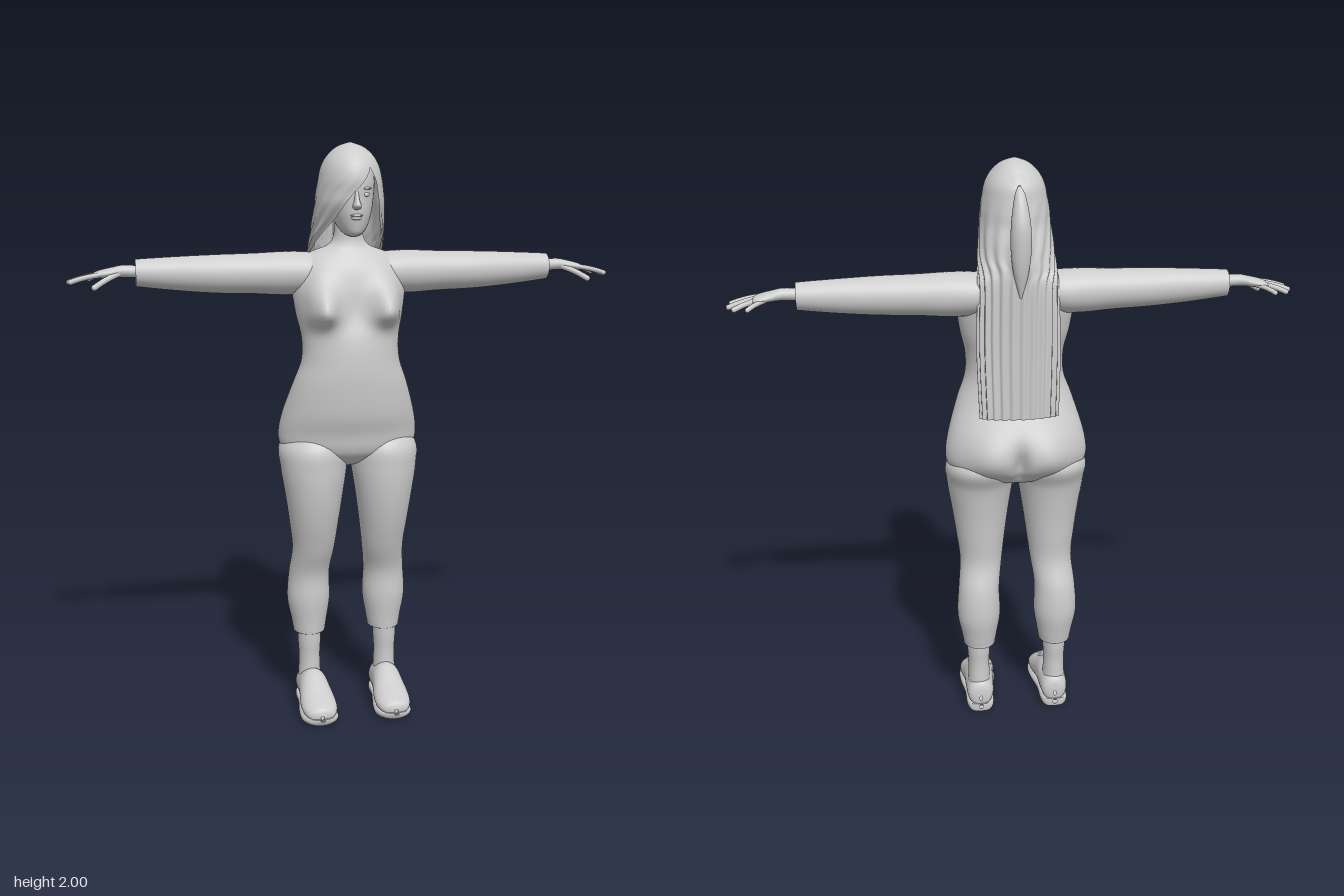
import * as THREE from 'three';

const clay = new THREE.MeshStandardMaterial({ color: 0xcccccc, side: THREE.DoubleSide });
clay.name = 'light grey';

// Catmull-Rom blend of the number rows at t (measured in rows)
function rowAt(rows, t) {
  const i = Math.min(Math.floor(t), rows.length - 2), f = t - i;
  const get = k => rows[Math.max(0, Math.min(rows.length - 1, k))];
  const [a, b, c, d] = [get(i - 1), get(i), get(i + 1), get(i + 2)];
  return b.map((v, k) => v + 0.5 * f * (c[k] - a[k] + f * (2 * a[k] - 5 * v + 4 * c[k] - d[k]
    + f * (3 * (v - c[k]) + d[k] - a[k]))));
}

// Smooth surface through rows; point(row, u) gives [x, y, z] for u in 0..1
function surface(name, rows, point, closed = true, nu = 40, steps = 6) {
  const nv = (rows.length - 1) * steps, cols = closed ? nu : nu + 1, pos = [], idx = [];
  for (let j = 0; j <= nv; j++) {
    const row = rowAt(rows, j / steps);
    for (let i = 0; i < cols; i++) pos.push(...point(row, i / nu));
  }
  const a = new THREE.Vector3(), b = new THREE.Vector3(), c = new THREE.Vector3();
  let volume = 0;
  const tri = (...t) => {
    idx.push(...t);
    [a, b, c].forEach((v, k) => v.fromArray(pos, t[k] * 3));
    volume += a.dot(b.cross(c));
  };
  for (let j = 0; j < nv; j++) for (let i = 0; i < nu; i++) {
    const k = (i + 1) % cols, p = j * cols, q = p + cols;
    tri(p + i, p + k, q + i);
    tri(p + k, q + k, q + i);
  }
  if (volume < 0) idx.reverse(); // keep faces pointing outward
  const geo = new THREE.BufferGeometry();
  geo.setAttribute('position', new THREE.Float32BufferAttribute(pos, 3));
  geo.setIndex(idx);
  geo.computeVertexNormals();
  return named(name, geo);
}

function named(name, geo) {
  const mesh = new THREE.Mesh(geo, clay);
  mesh.name = name;
  return mesh;
}

// Elliptical loft; rows are [axis position, centre, radius, centre, radius]
function loft(name, axis, rows, side = 1, shape = p => p, nu = 40) {
  return surface(name, rows, ([t, c1, r1, c2, r2], u) => {
    const p = c1 + r1 * Math.cos(u * 2 * Math.PI), q = c2 + r2 * Math.sin(u * 2 * Math.PI);
    const [x, y, z] = shape(axis === 'y' ? [p, t, q] : axis === 'x' ? [t, p, q] : [p, q, t]);
    return [side * x, y, z];
  }, true, nu);
}

function ball(name, x, y, z, rx, ry, rz) {
  const m = named(name, new THREE.SphereGeometry(1, 20, 14));
  m.position.set(x, y, z);
  m.scale.set(rx, ry, rz);
  return m;
}

// Bent digit made from a rounded tube
function digit(name, side, from, to, r) {
  const a = new THREE.Vector3(...from), b = new THREE.Vector3(...to);
  const mid = a.clone().lerp(b, 0.5);
  mid.y += 0.007;
  [a, mid, b].forEach(v => { v.x *= side; });
  const g = new THREE.Group();
  g.name = name;
  g.add(named('fingerBone', new THREE.TubeGeometry(new THREE.QuadraticBezierCurve3(a, mid, b), 8, r, 10)));
  g.add(ball('fingertip', b.x, b.y, b.z, r, r, r));
  return g;
}

const bell = (v, c, w) => Math.exp(-(((v - c) / w) ** 2));

// Chest, hip and seat volumes added to the plain torso loft
function torsoShape([x, y, z]) {
  const ax = Math.abs(x);
  if (z > 0.02) z += 0.085 * bell(ax, 0.11, 0.052) * bell(y, 1.45, y > 1.45 ? 0.085 : 0.048)
    * Math.min(1, (z - 0.02) / 0.04);
  if (z < -0.05) {
    const f = Math.min(1, (-0.05 - z) / 0.05);
    z += f * (0.035 * bell(x, 0, 0.02) * bell(y, 1.0, 0.06) - 0.025 * bell(ax, 0.1, 0.07) * bell(y, 1.03, 0.07));
  }
  return [x, y, z];
}

export function createModel() {
  const model = new THREE.Group();
  model.name = 'figure';

  // Torso and neck
  model.add(loft('torso', 'y', [
    [0.90, 0, 0.02, -0.02, 0.02], [0.92, 0, 0.10, -0.03, 0.08], [0.95, 0, 0.20, -0.03, 0.115],
    [0.98, 0, 0.238, -0.035, 0.135], [1.03, 0, 0.244, -0.035, 0.145], [1.10, 0, 0.230, -0.02, 0.15],
    [1.20, 0, 0.198, 0.01, 0.13], [1.28, 0, 0.170, 0.02, 0.12], [1.36, 0, 0.168, 0.015, 0.115],
    [1.44, 0, 0.185, 0, 0.105], [1.52, 0, 0.195, -0.01, 0.105], [1.58, 0, 0.19, -0.02, 0.10],
    [1.62, 0, 0.165, -0.025, 0.085], [1.645, 0, 0.12, -0.025, 0.07], [1.665, 0, 0.07, -0.02, 0.055],
    [1.70, 0, 0.05, -0.015, 0.045], [1.78, 0, 0.045, -0.01, 0.045],
  ], 1, torsoShape, 96));

  // Head and face
  const head = new THREE.Group();
  head.name = 'head';
  head.add(loft('face', 'y', [
    [1.695, 0, 0.01, 0.06, 0.02], [1.705, 0, 0.03, 0.06, 0.045], [1.73, 0, 0.05, 0.045, 0.07],
    [1.77, 0, 0.066, 0.025, 0.098], [1.82, 0, 0.076, 0.012, 0.112], [1.88, 0, 0.08, 0.008, 0.115],
    [1.93, 0, 0.075, 0, 0.10], [1.97, 0, 0.04, 0, 0.06], [1.985, 0, 0.005, 0, 0.005],
  ]));
  head.add(loft('nose', 'y', [
    [1.85, 0, 0.005, 0.116, 0.007], [1.815, 0, 0.009, 0.123, 0.017], [1.797, 0, 0.014, 0.126, 0.023],
    [1.787, 0, 0.011, 0.12, 0.014], [1.783, 0, 0.002, 0.115, 0.002],
  ], 1, p => p, 20));
  head.add(ball('upperLip', 0, 1.766, 0.121, 0.021, 0.005, 0.009));
  head.add(ball('lowerLip', 0, 1.757, 0.118, 0.018, 0.006, 0.009));
  for (const s of [1, -1]) {
    head.add(ball('eye', s * 0.032, 1.832, 0.112, 0.013, 0.007, 0.006));
    head.add(ball('brow', s * 0.034, 1.852, 0.114, 0.019, 0.004, 0.006));
  }
  model.add(head);

  // Hair sheet: rows are [y, radius x, centre z, radius z, left edge angle, right edge angle]
  model.add(surface('longHair', [
    [2.0, 0.004, 0.01, 0.004, 28, -28], [1.985, 0.045, 0.01, 0.055, 28, -28],
    [1.955, 0.078, 0.012, 0.09, 28, -28], [1.92, 0.097, 0.01, 0.115, 28, -28],
    [1.88, 0.106, 0.01, 0.125, 38, -15], [1.84, 0.112, 0.005, 0.128, 42, 5],
    [1.80, 0.116, 0, 0.128, 45, 20], [1.75, 0.12, -0.02, 0.122, 49, 35],
    [1.70, 0.124, -0.04, 0.11, 62, 55], [1.66, 0.127, -0.06, 0.095, 80, 70],
    [1.60, 0.13, -0.09, 0.068, 90, 88], [1.40, 0.138, -0.105, 0.052, 95, 95],
    [1.17, 0.132, -0.125, 0.037, 95, 95],
  ], ([y, rx, cz, rz, left, right], u) => {
    const a = THREE.MathUtils.degToRad(left + u * (360 - right - left));
    const wave = 0.004 * Math.sin(u * 75) * THREE.MathUtils.clamp((1.9 - y) * 4, 0, 1);
    return [(rx + wave) * Math.sin(a), y, cz + (rz + wave) * Math.cos(a)];
  }, false, 120));

  // Gathered tail at the back of the head
  model.add(loft('ponytail', 'y', [
    [1.93, 0, 0.003, -0.115, 0.004], [1.90, 0, 0.018, -0.135, 0.02], [1.82, 0, 0.031, -0.155, 0.032],
    [1.74, 0, 0.033, -0.16, 0.03], [1.66, 0, 0.024, -0.158, 0.022], [1.58, 0, 0.003, -0.155, 0.004],
  ]));

  for (const s of [1, -1]) {
    const side = s > 0 ? 'left' : 'right';

    // Arm with open sleeve end
    model.add(loft(side + 'Arm', 'x', [
      [0.06, 1.58, 0.05, -0.03, 0.06], [0.14, 1.572, 0.07, -0.03, 0.08], [0.22, 1.571, 0.073, -0.03, 0.077],
      [0.32, 1.572, 0.068, -0.028, 0.07], [0.45, 1.573, 0.064, -0.025, 0.064], [0.58, 1.576, 0.056, -0.028, 0.054],
      [0.70, 1.58, 0.046, -0.03, 0.046], [0.708, 1.58, 0.044, -0.03, 0.044], [0.704, 1.58, 0.034, -0.03, 0.034],
      [0.69, 1.58, 0.015, -0.03, 0.015],
    ], s));

    // Hand
    const hand = new THREE.Group();
    hand.name = side + 'Hand';
    hand.add(loft('palm', 'x', [
      [0.68, 1.583, 0.02, -0.027, 0.024], [0.75, 1.587, 0.02, -0.025, 0.024], [0.79, 1.583, 0.017, -0.028, 0.037],
      [0.825, 1.578, 0.014, -0.033, 0.043], [0.845, 1.574, 0.01, -0.035, 0.036], [0.85, 1.573, 0.002, -0.035, 0.01],
    ], s, p => p, 24));
    hand.add(digit('indexFinger', s, [0.82, 1.578, -0.002], [0.92, 1.556, 0.0], 0.009));
    hand.add(digit('middleFinger', s, [0.825, 1.577, -0.022], [0.926, 1.553, -0.038], 0.009));
    hand.add(digit('ringFinger', s, [0.825, 1.576, -0.045], [0.905, 1.555, -0.08], 0.009));
    hand.add(digit('littleFinger', s, [0.81, 1.575, -0.06], [0.862, 1.557, -0.099], 0.008));
    hand.add(digit('thumb', s, [0.765, 1.58, -0.008], [0.845, 1.54, 0.035], 0.01));
    model.add(hand);

    // Leg with trouser cuff
    model.add(loft(side + 'Leg', 'y', [
      [1.06, 0.11, 0.06, -0.03, 0.06], [0.98, 0.122, 0.119, -0.03, 0.127], [0.90, 0.125, 0.116, -0.012, 0.118],
      [0.80, 0.125, 0.101, -0.007, 0.107], [0.70, 0.125, 0.087, -0.012, 0.093], [0.60, 0.126, 0.075, -0.025, 0.076],
      [0.50, 0.137, 0.073, -0.057, 0.073], [0.40, 0.139, 0.077, -0.062, 0.077], [0.32, 0.138, 0.064, -0.06, 0.068],
      [0.285, 0.138, 0.058, -0.058, 0.064], [0.276, 0.138, 0.056, -0.058, 0.062], [0.279, 0.138, 0.046, -0.055, 0.05],
      [0.29, 0.138, 0.01, -0.055, 0.01],
    ], s));
    model.add(loft(side + 'Ankle', 'y', [
      [0.30, 0.14, 0.042, -0.045, 0.046], [0.24, 0.14, 0.041, -0.045, 0.046],
      [0.18, 0.14, 0.038, -0.045, 0.042], [0.10, 0.14, 0.041, -0.045, 0.045],
    ], s));

    // Clog shoe: upper and sole
    model.add(loft(side + 'Shoe', 'z', [
      [-0.106, 0.138, 0.005, 0.055, 0.01], [-0.10, 0.138, 0.032, 0.06, 0.04], [-0.08, 0.138, 0.047, 0.067, 0.055],
      [-0.03, 0.137, 0.051, 0.073, 0.061], [0.01, 0.136, 0.053, 0.078, 0.066], [0.05, 0.135, 0.057, 0.07, 0.058],
      [0.10, 0.134, 0.063, 0.056, 0.045], [0.145, 0.133, 0.06, 0.047, 0.034], [0.178, 0.133, 0.042, 0.041, 0.024],
      [0.188, 0.133, 0.006, 0.038, 0.006],
    ], s));
    model.add(loft(side + 'Sole', 'z', [
      [-0.11, 0.138, 0.008, 0.021, 0.006], [-0.102, 0.138, 0.038, 0.019, 0.019], [-0.07, 0.138, 0.05, 0.019, 0.02],
      [0, 0.137, 0.052, 0.02, 0.018], [0.08, 0.135, 0.064, 0.018, 0.018], [0.14, 0.133, 0.065, 0.019, 0.018],
      [0.18, 0.133, 0.046, 0.023, 0.014], [0.194, 0.133, 0.008, 0.026, 0.004],
    ], s, ([x, y, z]) => [x, Math.max(0, Math.min(0.032, 0.02 + (y - 0.02) * 1.5)), z]));
  }
  return model;
}
